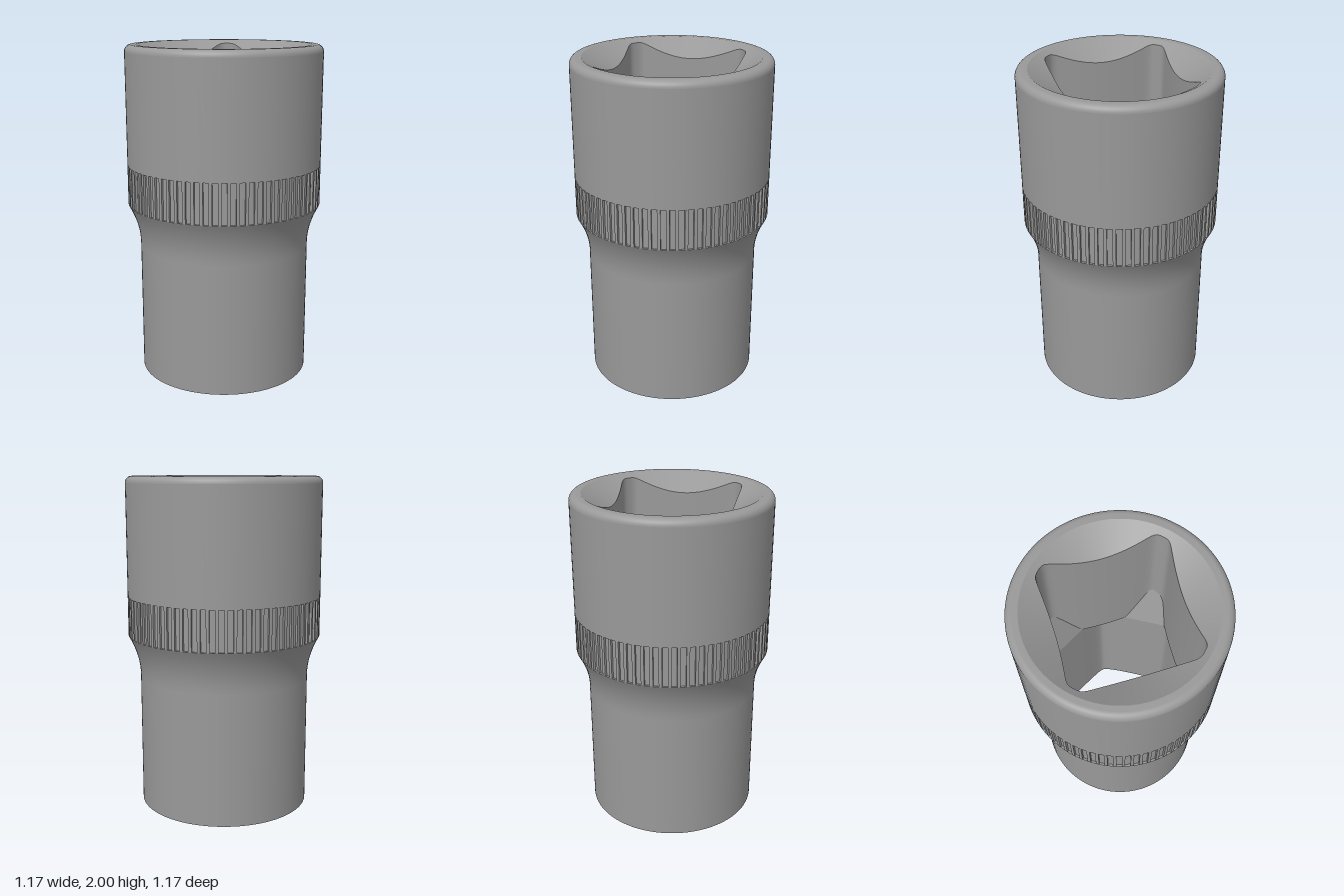
import * as THREE from 'three';
import { mergeGeometries, toCreasedNormals } from 'three/addons/utils/BufferGeometryUtils.js';

const SEGMENTS = 192;
const SLOPE = Math.tan(Math.PI / 6); // lead-in cones at both mouths
const HEX_APOTHEM = 0.373;

// Angle measured from the middle of the nearest flat; one flat faces +x.
function angleFromFlat(angle, sides) {
  const step = (2 * Math.PI) / sides;
  return angle - step * Math.round(angle / step);
}

// Radius of a rounded, slightly hollow-sided polygon.
function polygonRadius(angle, sides, apothem, bow, cap) {
  const phi = angleFromFlat(angle, sides);
  const edge = (apothem / Math.cos(phi)) * (1 + bow * Math.tan(phi) ** 2);
  const k = 110;
  return -Math.log(Math.exp(-k * edge) + Math.exp(-k * cap)) / k;
}

const square = (a) => polygonRadius(a, 4, 0.345, 0.09, 0.477);
const hexagon = (a) => polygonRadius(a, 6, HEX_APOTHEM, 0.02, 0.427);

// Inward-facing wall between an upper and a lower ring; a ring maps angle to [radius, y].
function boreWall(upper, lower) {
  const positions = [];
  const indices = [];
  for (const ring of [upper, lower]) {
    for (let i = 0; i < SEGMENTS; i++) {
      const angle = (i / SEGMENTS) * 2 * Math.PI;
      const [r, y] = ring(angle);
      positions.push(r * Math.cos(angle), y, r * Math.sin(angle));
    }
  }
  for (let i = 0; i < SEGMENTS; i++) {
    const next = (i + 1) % SEGMENTS;
    const c = i + SEGMENTS, d = next + SEGMENTS;
    indices.push(i, c, next, next, c, d);
  }
  const geometry = new THREE.BufferGeometry();
  geometry.setAttribute('position', new THREE.Float32BufferAttribute(positions, 3));
  geometry.setIndex(indices);
  geometry.computeVertexNormals();
  return geometry;
}

function lathe(points) {
  return new THREE.LatheGeometry(points.map(([x, y]) => new THREE.Vector2(x, y)), 96);
}

export function createModel() {
  const group = new THREE.Group();
  group.name = 'socket';
  const material = new THREE.MeshStandardMaterial({ color: 0x999999 });
  const add = (name, geometry) => {
    const mesh = new THREE.Mesh(geometry, material);
    mesh.name = name;
    group.add(mesh);
  };

  // Lower body, from the thin bottom rim up to the flare
  add('bottomRim', lathe([[0.498, 0], [0.515, 0]]));
  add('lowerBody', lathe([[0.515, 0], [0.515, 0.8]]));

  // Concave flare, tangent to the lower body
  const flare = [];
  for (let i = 0; i <= 12; i++) {
    const t = i / 12;
    flare.push([0.515 + 0.07 * t * t, 0.8 + 0.25 * t]);
  }
  add('flare', lathe(flare));

  // Grip band: recessed core with narrow ridges all round
  add('gripLowerShelf', lathe([[0.585, 1.05], [0.572, 1.05]]));
  add('gripCore', lathe([[0.572, 1.05], [0.572, 1.29]]));
  add('gripUpperShelf', lathe([[0.572, 1.29], [0.585, 1.29]]));
  const ridges = [];
  const ridgeCount = 72;
  for (let i = 0; i < ridgeCount; i++) {
    const ridge = new THREE.BoxGeometry(0.019, 0.24, 0.016);
    ridge.translate(0, 1.17, 0.577);
    ridge.rotateY((i / ridgeCount) * 2 * Math.PI);
    ridges.push(ridge);
  }
  add('gripRidges', mergeGeometries(ridges));

  // Upper body with a rounded top edge running into the flat rim
  add('upperBody', lathe([[0.585, 1.29], [0.585, 1.96]]));
  const topEdge = [];
  for (let i = 0; i <= 8; i++) {
    const a = (i / 8) * Math.PI / 2;
    topEdge.push([0.545 + 0.04 * Math.cos(a), 1.96 + 0.04 * Math.sin(a)]);
  }
  topEdge.push([0.515, 2]);
  add('topEdge', lathe(topEdge));

  // Through bore: cone, square drive, faceted funnel, hexagon, cone
  const topMouth = () => [0.515, 2];
  const squareTop = (a) => [square(a), 2 - (0.515 - square(a)) * SLOPE];
  const squareEnd = (a) => {
    const outside = square(a) * Math.cos(angleFromFlat(a, 6)) - HEX_APOTHEM;
    return [square(a), 1.05 + 3 * Math.max(0, outside)];
  };
  const hexTop = (a) => [hexagon(a), 1.05];
  const hexEnd = (a) => [hexagon(a), (0.498 - hexagon(a)) * SLOPE];
  const bottomMouth = () => [0.498, 0];
  add('driveLeadIn', boreWall(topMouth, squareTop));
  add('squareDrive', boreWall(squareTop, squareEnd));
  add('boreFunnel', toCreasedNormals(boreWall(squareEnd, hexTop), 0.5));
  add('hexBore', boreWall(hexTop, hexEnd));
  add('hexLeadIn', boreWall(hexEnd, bottomMouth));

  return group;
}
